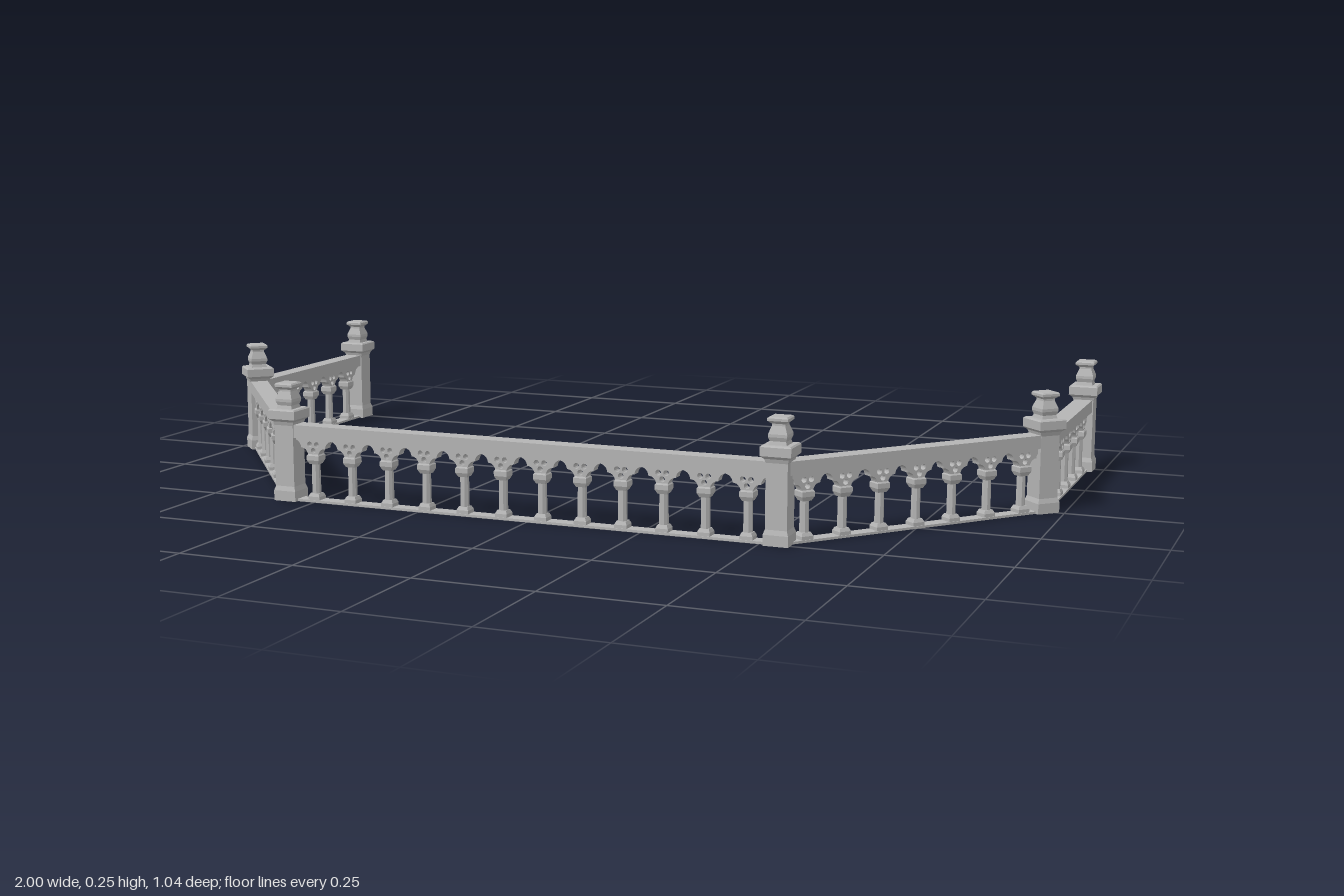
import * as THREE from 'three';

const SPACING = 0.0885;

export function createModel() {
  const stone = new THREE.MeshStandardMaterial({ color: 0xb4b4b4, flatShading: true });
  stone.name = 'grey stone';
  const model = new THREE.Group();
  model.name = 'balustrade';

  const add = (parent, geometry, name, x = 0, y = 0, z = 0) => {
    const mesh = new THREE.Mesh(geometry, stone);
    mesh.name = name;
    mesh.position.set(x, y, z);
    parent.add(mesh);
    return mesh;
  };

  // Square turned profile: points are [half width, height]
  const squareTurned = (points) => {
    const g = new THREE.LatheGeometry(
      points.map(([h, y]) => new THREE.Vector2(h * Math.SQRT2, y)), 4);
    return g.rotateY(Math.PI / 4).toNonIndexed();
  };

  // Post parts
  const postGeo = squareTurned([
    [0, 0], [0.026, 0], [0.026, 0.022], [0.0225, 0.032], [0.0225, 0.164],
    [0.025, 0.172], [0.032, 0.178], [0.032, 0.196], [0.029, 0.199], [0, 0.199],
  ]);
  const finialGeo = squareTurned([
    [0.019, 0.198], [0.0165, 0.206], [0.0195, 0.214], [0.0195, 0.220],
    [0.0135, 0.236], [0.0135, 0.240], [0.021, 0.246], [0.021, 0.251],
    [0.018, 0.254], [0, 0.254],
  ]);

  // Colonnette parts
  const baseGeo = squareTurned([[0.0135, 0.004], [0.0135, 0.012], [0.010, 0.019], [0, 0.019]]);
  const shaftGeo = new THREE.CylinderGeometry(0.0092, 0.0098, 0.07, 8).rotateY(Math.PI / 8);
  const capitalGeo = squareTurned([
    [0, 0.082], [0.010, 0.082], [0.0145, 0.091], [0.0145, 0.101], [0.012, 0.104], [0, 0.104],
  ]);

  // Cusped spandrel pierced by a trefoil
  const half = SPACING / 2;
  const s = new THREE.Shape();
  s.moveTo(-half, 0.14);
  s.lineTo(-half, 0.134);
  s.quadraticCurveTo(-0.031, 0.131, -0.029, 0.117);
  s.quadraticCurveTo(-0.016, 0.117, -0.012, 0.102);
  s.lineTo(0.012, 0.102);
  s.quadraticCurveTo(0.016, 0.117, 0.029, 0.117);
  s.quadraticCurveTo(0.031, 0.131, half, 0.134);
  s.lineTo(half, 0.14);
  s.closePath();
  for (const [x, y] of [[-0.0085, 0.125], [0.0085, 0.125], [0, 0.112]]) {
    const hole = new THREE.Path();
    hole.absarc(x, y, 0.006, 0, Math.PI * 2, true);
    s.holes.push(hole);
  }
  const spandrelGeo = new THREE.ExtrudeGeometry(s, { depth: 0.022, bevelEnabled: false, curveSegments: 6 });
  spandrelGeo.translate(0, 0, -0.011);

  // Post positions [x, z, turn], walked from one free end to the other
  const posts = [
    [-0.955, -0.49, 0], [-0.955, -0.004, Math.PI / 4], [-0.565, 0.489, 0],
    [0.537, 0.489, 0], [0.952, -0.004, Math.PI / 4], [0.952, -0.49, 0],
  ];
  const bays = [5, 7, 12, 7, 5];

  for (const [x, z, turn] of posts) {
    const post = new THREE.Group();
    post.name = 'post';
    post.position.set(x, 0, z);
    post.rotation.y = turn;
    add(post, postGeo, 'postShaft');
    add(post, finialGeo, 'finial');
    model.add(post);
  }

  // Railing panels between neighbouring posts
  bays.forEach((count, i) => {
    const [x0, z0] = posts[i];
    const [x1, z1] = posts[i + 1];
    const length = Math.hypot(x1 - x0, z1 - z0);
    const panel = new THREE.Group();
    panel.name = 'railingPanel';
    panel.position.set((x0 + x1) / 2, 0, (z0 + z1) / 2);
    panel.rotation.y = -Math.atan2(z1 - z0, x1 - x0);
    add(panel, new THREE.BoxGeometry(length, 0.028, 0.04), 'handrail', 0, 0.152, 0);
    add(panel, new THREE.BoxGeometry(length, 0.005, 0.03), 'floorStrip', 0, 0.0025, 0);
    for (let k = 0; k < count; k++) {
      const x = (k - (count - 1) / 2) * SPACING;
      add(panel, baseGeo, 'columnBase', x);
      add(panel, shaftGeo, 'columnShaft', x, 0.05);
      add(panel, capitalGeo, 'capital', x);
      add(panel, spandrelGeo, 'spandrel', x);
    }
    model.add(panel);
  });

  return model;
}
